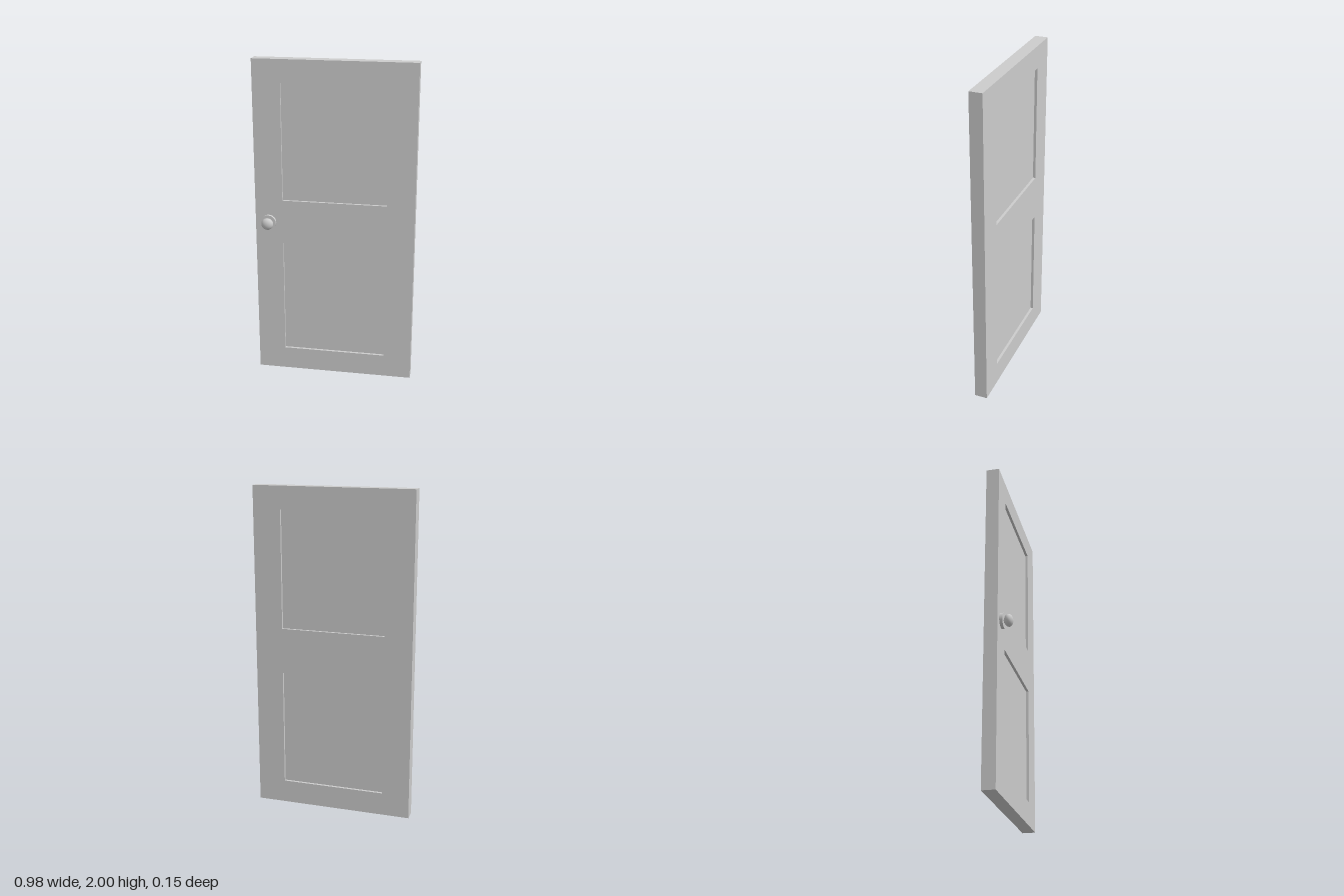
import * as THREE from 'three';

const HALF_WIDTH = 0.49, HEIGHT = 2;
const BACK = -0.0745, FRONT = 0.004, RECESS = 0.016;
const PANEL_HALF = 0.32, PANEL_HEIGHT = 0.72, PANEL_BASES = [0.143, 1.143];
const KNOB_X = -0.407, KNOB_Y = 1.002;

// Rectangle traced from its lower left corner
function rectangle(path, x, y, w, h) {
  path.moveTo(x, y);
  path.lineTo(x + w, y);
  path.lineTo(x + w, y + h);
  path.lineTo(x, y + h);
  path.closePath();
  return path;
}

export function createModel() {
  const door = new THREE.Group();
  door.name = 'door';
  const grey = new THREE.MeshStandardMaterial({ color: 0xcccccc });
  grey.name = 'light grey';

  function add(name, geometry, x = 0, y = 0, z = 0) {
    const mesh = new THREE.Mesh(geometry, grey);
    mesh.name = name;
    mesh.position.set(x, y, z);
    door.add(mesh);
    return mesh;
  }

  // Frame with two openings
  const outline = rectangle(new THREE.Shape(), -HALF_WIDTH, 0, HALF_WIDTH * 2, HEIGHT);
  for (const base of PANEL_BASES) {
    outline.holes.push(rectangle(new THREE.Path(), -PANEL_HALF, base, PANEL_HALF * 2, PANEL_HEIGHT));
  }
  const thickness = FRONT - BACK;
  add('frame', new THREE.ExtrudeGeometry(outline, { depth: thickness, bevelEnabled: false }), 0, 0, BACK);

  // Thinner panels, recessed on both sides
  PANEL_BASES.forEach((base, i) => {
    add(i ? 'upperPanel' : 'lowerPanel',
      new THREE.BoxGeometry(PANEL_HALF * 2, PANEL_HEIGHT, thickness - RECESS * 2),
      0, base + PANEL_HEIGHT / 2, (FRONT + BACK) / 2);
  });

  // Round plate behind the knob
  const plate = new THREE.CylinderGeometry(0.046, 0.046, 0.018, 24);
  plate.rotateX(Math.PI / 2);
  add('knobPlate', plate, KNOB_X, KNOB_Y, FRONT + 0.009);

  // Short spindle joining plate and knob
  const spindle = new THREE.CylinderGeometry(0.012, 0.012, 0.02, 16);
  spindle.rotateX(Math.PI / 2);
  add('knobSpindle', spindle, KNOB_X, KNOB_Y, 0.03);

  // Flattened knob, its pole facing forward
  const knob = new THREE.SphereGeometry(0.037, 24, 16);
  knob.rotateX(Math.PI / 2);
  knob.scale(1, 1, 0.7);
  add('knob', knob, KNOB_X, KNOB_Y, 0.0486);

  return door;
}
